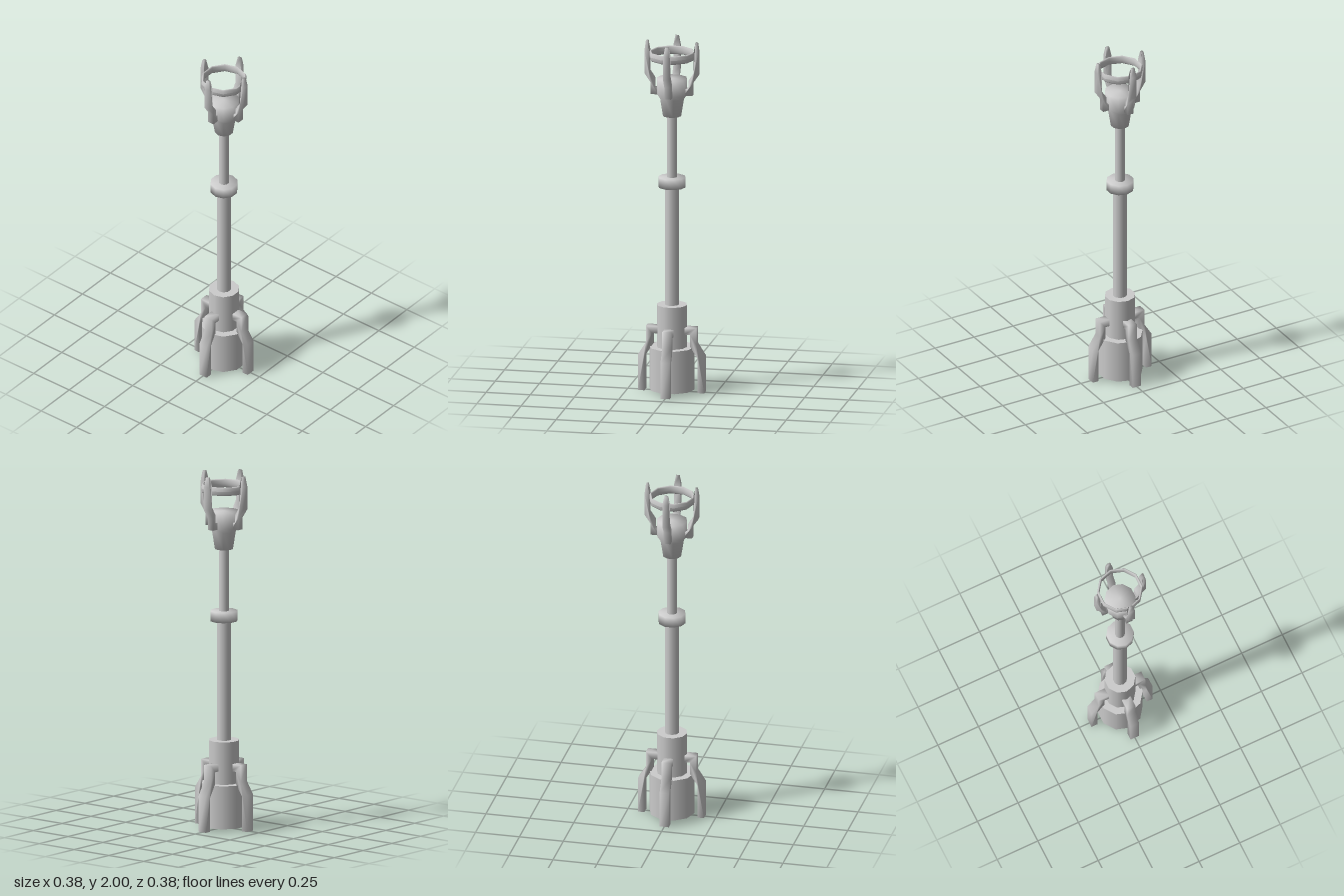
import * as THREE from 'three';
import { mergeVertices } from 'three/addons/utils/BufferGeometryUtils.js';

const SIDES = 10;

export function createModel() {
  const root = new THREE.Group();
  const mat = new THREE.MeshStandardMaterial({ color: 0xcccccc });

  const add = (name, geometry, parent = root) => {
    const mesh = new THREE.Mesh(geometry, mat);
    mesh.name = name;
    parent.add(mesh);
    return mesh;
  };

  // Upright ten-sided cylinder between two heights
  const column = (name, radius, y0, y1) => {
    const g = new THREE.CylinderGeometry(radius, radius, y1 - y0, SIDES);
    add(name, g.translate(0, (y0 + y1) / 2, 0));
  };

  // Turned part from [radius, height] pairs, bottom to top
  const turned = (name, profile) =>
    add(name, new THREE.LatheGeometry(profile.map(([r, y]) => new THREE.Vector2(r, y)), SIDES));

  // Flat side outline given a width, with softened normals and an optional pinched tip
  const limb = (outline, width, tipY = Infinity, tipScale = 1) => {
    const shape = new THREE.Shape(outline.map(([x, y]) => new THREE.Vector2(x, y)));
    let g = new THREE.ExtrudeGeometry(shape, { depth: width, bevelEnabled: false });
    g.translate(0, 0, -width / 2);
    const p = g.attributes.position;
    for (let i = 0; i < p.count; i++) {
      if (p.getY(i) > tipY) p.setZ(i, p.getZ(i) * tipScale);
    }
    g.deleteAttribute('normal');
    g.deleteAttribute('uv');
    g = mergeVertices(g, 1e-5);
    g.computeVertexNormals();
    return g;
  };

  // Four copies of a limb around the axis
  const fourAround = (groupName, name, geometry) => {
    const group = new THREE.Group();
    group.name = groupName;
    for (let i = 0; i < 4; i++) add(name, geometry, group).rotation.y = (i * Math.PI) / 2;
    root.add(group);
  };

  // Base and shaft
  column('baseDrum', 0.127, 0.012, 0.255);
  column('baseHub', 0.086, 0.25, 0.495);
  column('lowerShaft', 0.04, 0.49, 1.18);
  turned('shaftCollar', [[0, 1.168], [0.077, 1.168], [0.077, 1.225], [0, 1.225]]);
  column('upperShaft', 0.028, 1.22, 1.585);

  // Flared head
  turned('head', [
    [0, 1.575], [0.052, 1.575], [0.068, 1.675], [0.086, 1.7], [0.086, 1.79], [0, 1.79],
  ]);

  // Base legs, stepping outward to the ground
  fourAround('legs', 'leg', limb([
    [0.07, 0.33], [0.108, 0.33], [0.108, 0.262], [0.151, 0.195], [0.151, 0],
    [0.188, 0], [0.188, 0.205], [0.143, 0.275], [0.143, 0.37], [0.07, 0.37],
  ], 0.052));

  // Head prongs, tapering at the tips
  fourAround('prongs', 'prong', limb([
    [0.07, 1.697], [0.118, 1.697], [0.118, 1.765], [0.152, 1.815], [0.152, 1.945], [0.146, 2],
    [0.134, 2], [0.126, 1.945], [0.126, 1.828], [0.096, 1.783], [0.096, 1.735], [0.07, 1.735],
  ], 0.038, 1.98, 0.5));

  // Thin hoop joining the prongs
  const hoop = [];
  for (let i = 0; i <= 8; i++) {
    const a = (i / 8) * Math.PI * 2;
    hoop.push([0.122 + 0.007 * Math.cos(a), 1.921 + 0.024 * Math.sin(a)]);
  }
  turned('hoop', hoop);

  return root;
}
